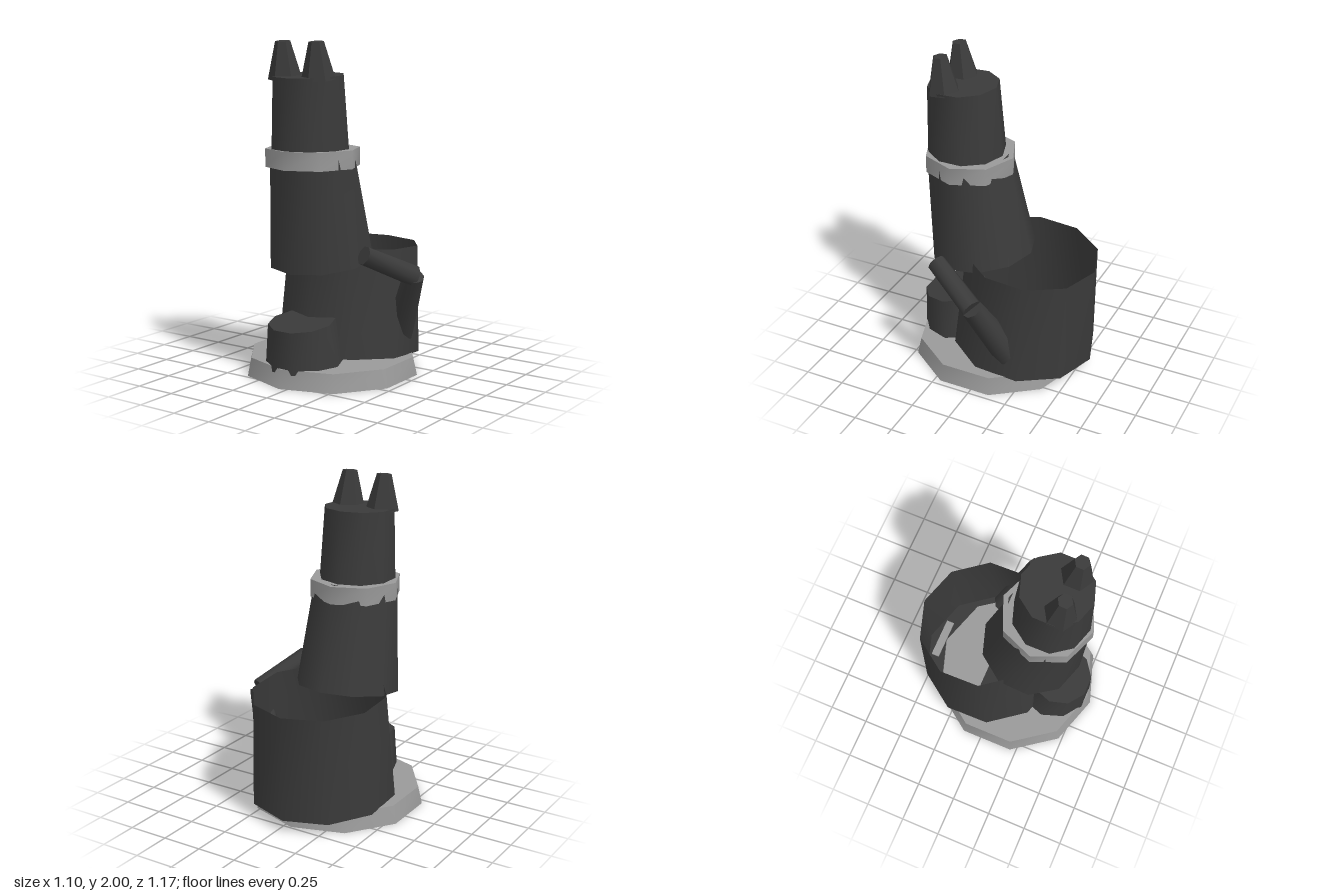
import * as THREE from 'three';
import { toCreasedNormals } from 'three/addons/utils/BufferGeometryUtils.js';

export function createModel() {
  const dark = new THREE.MeshStandardMaterial({ color: 0x3a3a3a, side: THREE.DoubleSide });
  dark.name = 'charcoal';
  const light = new THREE.MeshStandardMaterial({ color: 0x999999 });
  light.name = 'pale grey';

  const model = new THREE.Group();
  model.name = 'catStatue';
  const cx = -0.045; // centre line of the body
  const up = new THREE.Vector3(0, 1, 0);

  // Tapered prism running from point a to point b
  function taper(name, a, b, ra, rb, sides, material, { open = false, turn = 0 } = {}) {
    const start = new THREE.Vector3(...a);
    const axis = new THREE.Vector3(...b).sub(start);
    const geo = new THREE.CylinderGeometry(rb, ra, axis.length(), sides, 1, open);
    geo.rotateY(turn);
    const mesh = new THREE.Mesh(toCreasedNormals(geo, 0.87), material);
    mesh.name = name;
    mesh.position.copy(start).addScaledVector(axis, 0.5);
    mesh.quaternion.setFromUnitVectors(up, axis.normalize());
    model.add(mesh);
    return mesh;
  }

  // Base with a small plate at the back
  taper('base', [cx, 0, 0.045], [cx, 0.11, 0.045], 0.535, 0.51, 10, light);
  const plate = new THREE.Mesh(new THREE.BoxGeometry(0.255, 0.015, 0.05), light);
  plate.name = 'backPlate';
  plate.position.set(cx, 0.098, -0.495);
  model.add(plate);

  // Haunches: hollow drum, open at the top, with a floor
  const haunches = taper('haunches', [cx, 0.11, -0.13], [cx, 0.76, -0.175], 0.45, 0.412, 10, dark, { open: true });
  const floorGeo = new THREE.CircleGeometry(0.45, 10);
  floorGeo.rotateZ(Math.PI / 2);
  floorGeo.rotateX(Math.PI / 2);
  const floor = new THREE.Mesh(floorGeo, dark);
  floor.name = 'haunchesFloor';
  floor.position.set(cx, 0.11, -0.13);
  floor.quaternion.copy(haunches.quaternion);
  model.add(floor);

  // Front paws block
  taper('paws', [cx, 0.112, 0.32], [cx, 0.36, 0.355], 0.236, 0.2, 10, dark, { turn: Math.PI / 10 });

  // Chest, collar and head
  taper('chest', [cx, 0.705, 0.15], [cx, 1.342, 0.245], 0.32, 0.257, 10, dark);
  taper('collar', [cx, 1.27, 0.238], [cx, 1.378, 0.238], 0.28, 0.28, 8, light);
  taper('head', [cx, 1.32, 0.26], [cx, 1.802, 0.28], 0.238, 0.214, 10, dark);

  // Ears
  for (const side of [-1, 1]) {
    const x = cx + side * 0.119;
    taper(side > 0 ? 'leftEar' : 'rightEar', [x, 1.78, 0.345], [x, 1.998, 0.365], 0.1, 0.044, 6, dark);
  }

  // Bent tail in two segments
  const bend = [0.488, 0.63, -0.03];
  taper('tailRoot', [0.3, 0.235, -0.175], bend, 0.09, 0.065, 8, dark);
  taper('tailTip', bend, [0.345, 0.785, 0.28], 0.064, 0.057, 8, dark);

  return model;
}
